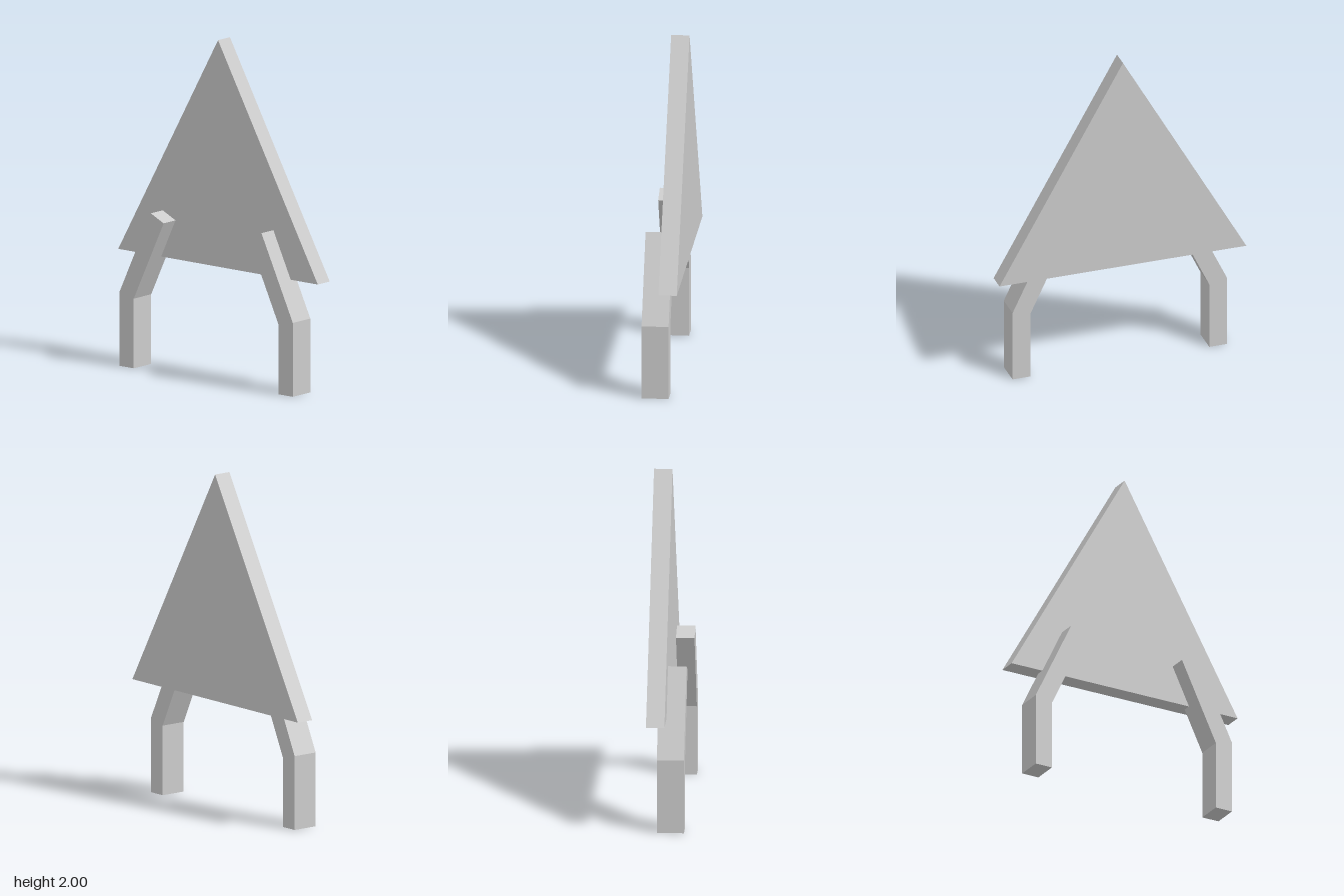
import * as THREE from 'three';

const material = new THREE.MeshStandardMaterial({ color: 0xcccccc, flatShading: true });

// Extrude an outline in the xy plane between two depths
function slab(name, points, zBack, zFront) {
  const shape = new THREE.Shape(points.map(([x, y]) => new THREE.Vector2(x, y)));
  const geometry = new THREE.ExtrudeGeometry(shape, { depth: zFront - zBack, bevelEnabled: false });
  geometry.translate(0, 0, zBack);
  const mesh = new THREE.Mesh(geometry, material);
  mesh.name = name;
  return mesh;
}

export function createModel() {
  const model = new THREE.Group();
  model.name = 'triangularSign';

  // Triangular board
  model.add(slab('board', [[-0.754, 0.66], [0.754, 0.66], [0, 2]], -0.107, 0));

  // Bent legs, fixed to the front of the board and let into its thickness
  const legOutline = [
    [0.547, 0], [0.655, 0], [0.655, 0.437],
    [0.418, 0.935], [0.321, 0.889], [0.547, 0.412],
  ];
  for (const [name, side] of [['leftLeg', 1], ['rightLeg', -1]]) {
    model.add(slab(name, legOutline.map(([x, y]) => [side * x, y]), -0.05, 0.107));
  }

  return model;
}
